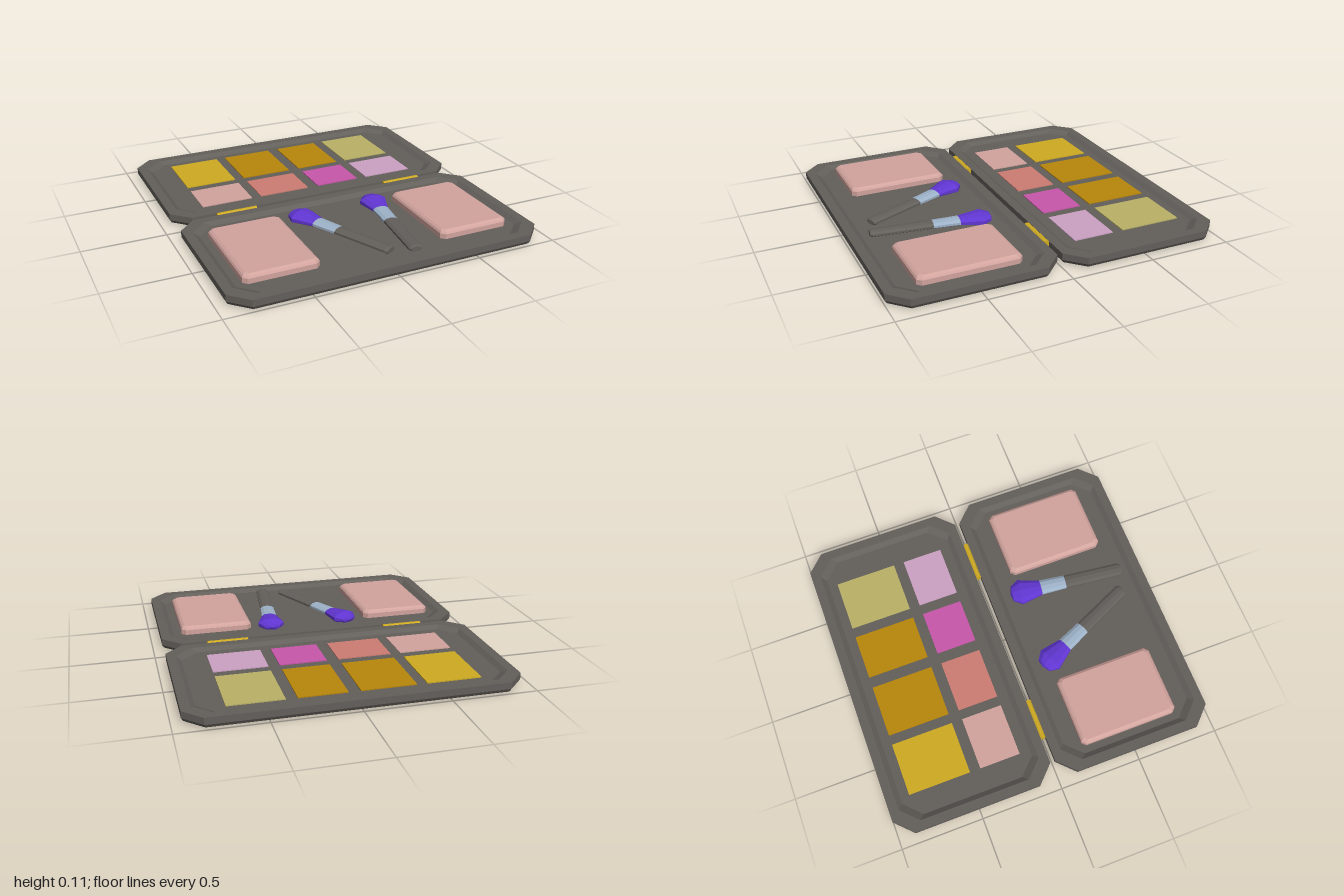
import * as THREE from 'three';

const mat = (name, color) => {
  const m = new THREE.MeshStandardMaterial({ color });
  m.name = name;
  return m;
};

// Faceted normals
function faceted(geometry) {
  const g = geometry.index ? geometry.toNonIndexed() : geometry;
  g.computeVertexNormals();
  return g;
}

// Rectangle with cut corners, counter-clockwise seen from above
function octagon(hx, hz, c) {
  const quarter = [[hx, hz - c], [hx, c - hz], [hx - c, -hz], [c - hx, -hz]];
  return [...quarter, ...quarter.map(([x, z]) => [-x, -z])];
}

// Stack of cut-corner rings [inset, y, corner], closed at both ends
function loft(hx, hz, rings) {
  const pos = [];
  const loops = rings.map(([inset, y, c]) =>
    octagon(hx - inset, hz - inset, c).map(([x, z]) => [x, y, z]));
  const tri = (a, b, c) => pos.push(...a, ...b, ...c);
  for (let r = 0; r < loops.length - 1; r++) {
    for (let i = 0; i < 8; i++) {
      const j = (i + 1) % 8, lo = loops[r], hi = loops[r + 1];
      tri(lo[i], lo[j], hi[j]);
      tri(lo[i], hi[j], hi[i]);
    }
  }
  const first = loops[0], last = loops[loops.length - 1];
  for (let i = 1; i < 7; i++) {
    tri(first[0], first[i + 1], first[i]);
    tri(last[0], last[i], last[i + 1]);
  }
  const g = new THREE.BufferGeometry();
  g.setAttribute('position', new THREE.Float32BufferAttribute(pos, 3));
  return faceted(g);
}

export function createModel() {
  const model = new THREE.Group();
  model.name = 'makeupPalette';
  const dark = mat('charcoal', 0x635f5b);
  const yellow = mat('yellowGold', 0xcfab22);
  const ochre = mat('ochre', 0xb8860b);
  const khaki = mat('khaki', 0xb9b166);
  const pink = mat('powderPink', 0xd2a49e);
  const salmon = mat('salmon', 0xcd7d73);
  const magenta = mat('magenta', 0xc857aa);
  const lilac = mat('lilac', 0xcca2c3);
  const purple = mat('bristlePurple', 0x6136d2);
  const steel = mat('paleSteel', 0x9db2c8);

  const add = (parent, name, geometry, material, x = 0, y = 0, z = 0) => {
    const m = new THREE.Mesh(geometry, material);
    m.name = name;
    m.position.set(x, y, z);
    parent.add(m);
    return m;
  };

  // Two matching trays with bevelled undersides and recessed floors
  const floorY = 0.05;
  const tray = loft(0.945, 0.4925, [
    [0.04, 0, 0.09], [0.012, 0.01, 0.1], [0, 0.03, 0.105], [0, 0.07, 0.105],
    [0.055, 0.07, 0.1], [0.085, floorY, 0.1],
  ]);
  add(model, 'frontTray', tray, dark, 0, 0, 0.5075);
  add(model, 'backTray', tray, dark, 0, 0, -0.5075);

  // Hinge barrels
  const barrel = new THREE.CylinderGeometry(0.022, 0.022, 0.25, 10).rotateZ(Math.PI / 2);
  for (const x of [-0.563, 0.557]) add(model, 'hinge', faceted(barrel), yellow, x, 0.054, 0);

  // Colour pans: [left edge, right edge, large pan, small pan]
  const columns = [
    [-0.725, -0.405, yellow, pink],
    [-0.345, -0.025, ochre, salmon],
    [0.045, 0.325, ochre, magenta],
    [0.39, 0.71, khaki, lilac],
  ];
  for (const [x0, x1, large, small] of columns) {
    const x = (x0 + x1) / 2, w = x1 - x0;
    add(model, 'largePan', new THREE.BoxGeometry(w, 0.006, 0.38), large, x, floorY + 0.003, -0.67);
    add(model, 'smallPan', new THREE.BoxGeometry(w, 0.006, 0.25), small, x, floorY + 0.003, -0.29);
  }

  // Powder pads with softened edges
  const pad = loft(0.22, 0.305, [
    [0, 0.045, 0.025], [0, 0.08, 0.025], [0.007, 0.091, 0.023], [0.022, 0.1, 0.018],
  ]);
  for (const x of [-0.598, 0.592]) add(model, 'powderPad', pad, pink, x, 0, 0.507);

  // Flattened brushes, built from the handle end toward the tip
  const turned = (points) => faceted(
    new THREE.LatheGeometry(points.map(([r, t]) => new THREE.Vector2(r, t)), 10)
      .rotateX(-Math.PI / 2).scale(1, 0.45, 1));
  const handle = turned([[0, 0], [0.033, 0], [0.043, 0.015], [0.045, 0.37]]);
  const ferrule = turned([[0.045, 0.37], [0.05, 0.53]]);
  const bristles = turned([[0.05, 0.53], [0.085, 0.665], [0.05, 0.718], [0, 0.73]]);
  for (const [x, z, angle] of [[0.035, 0.825, 0.433], [0.168, 0.872, -0.113]]) {
    const brush = new THREE.Group();
    brush.name = 'brush';
    brush.position.set(x, 0.068, z);
    brush.rotation.y = angle;
    add(brush, 'handle', handle, dark);
    add(brush, 'ferrule', ferrule, steel);
    add(brush, 'bristles', bristles, purple);
    model.add(brush);
  }
  return model;
}
